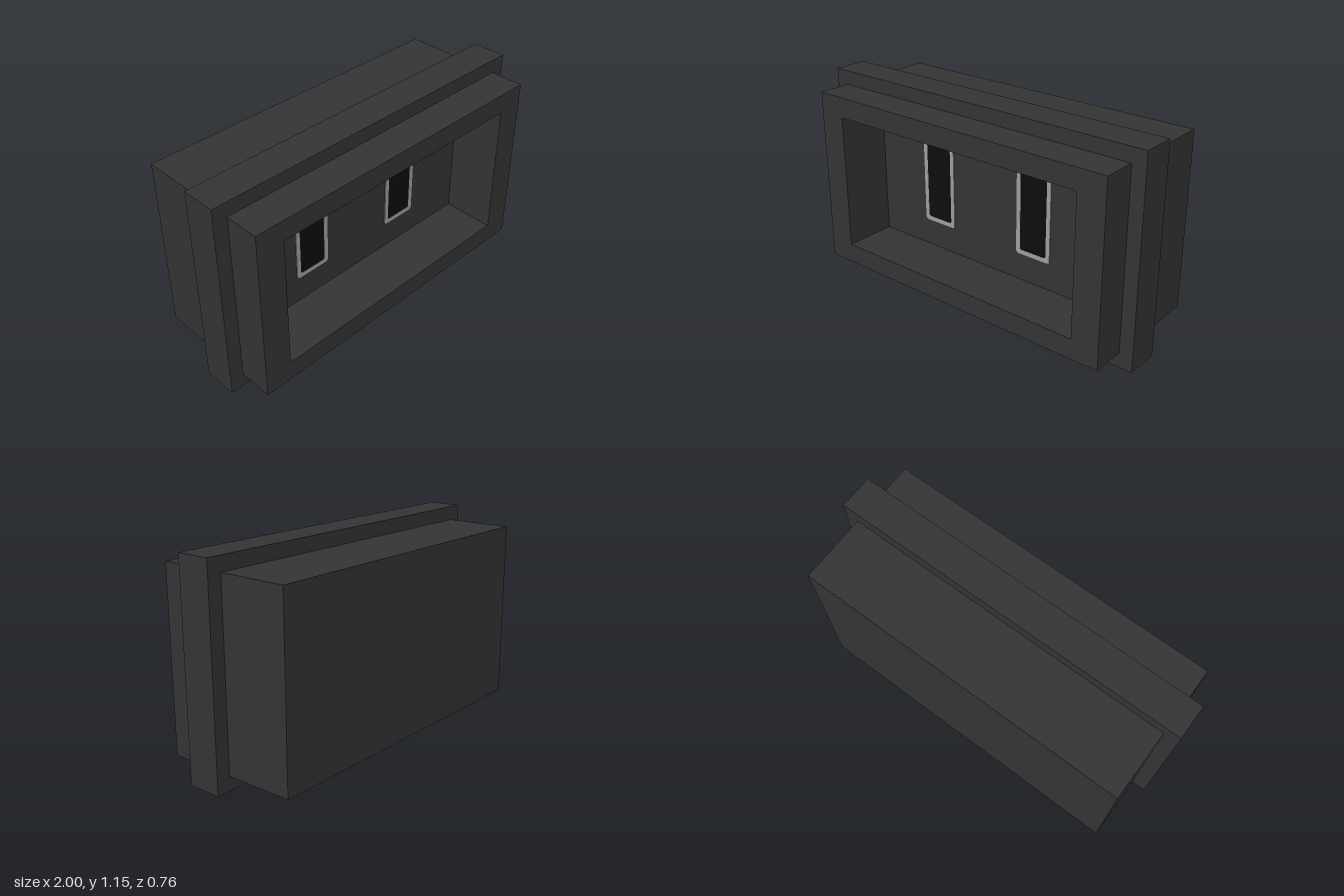
import * as THREE from 'three';

const casing = new THREE.MeshStandardMaterial({ color: 0x353535 });
casing.name = 'charcoal casing';
const trim = new THREE.MeshStandardMaterial({ color: 0xa2a2a2 });
trim.name = 'light grey trim';
const opening = new THREE.MeshStandardMaterial({ color: 0x0d0d0d });
opening.name = 'black opening';

// Rectangle outline with optional rounded corners
function rect(Type, w, h, r = 0) {
  const s = new Type();
  const x = w / 2, y = h / 2;
  if (r === 0) {
    s.moveTo(-x, -y).lineTo(x, -y).lineTo(x, y).lineTo(-x, y).closePath();
    return s;
  }
  s.absarc(x - r, -y + r, r, -Math.PI / 2, 0);
  s.absarc(x - r, y - r, r, 0, Math.PI / 2);
  s.absarc(-x + r, y - r, r, Math.PI / 2, Math.PI);
  s.absarc(-x + r, -y + r, r, Math.PI, Math.PI * 1.5);
  s.closePath();
  return s;
}

// Rectangular plate with an optional hole, extruded towards +z
function plate(name, material, outer, inner, depth, x, y, z) {
  const shape = rect(THREE.Shape, ...outer);
  if (inner) shape.holes.push(rect(THREE.Path, ...inner));
  const geometry = new THREE.ExtrudeGeometry(shape, { depth, bevelEnabled: false, curveSegments: 4 });
  const mesh = new THREE.Mesh(geometry, material);
  mesh.name = name;
  mesh.position.set(x, y, z);
  return mesh;
}

export function createModel() {
  const model = new THREE.Group();
  model.name = 'recessedPanel';
  const midY = 0.573, floorZ = 0.08;
  const body = [1.846, 0.99];

  // Solid rear housing, whose front is the recess floor
  const rear = new THREE.Mesh(new THREE.BoxGeometry(...body, 0.38 + floorZ), casing);
  rear.name = 'rearHousing';
  rear.position.set(0, midY, (floorZ - 0.38) / 2);
  model.add(rear);

  // Front rim around the recess, and the wider flange
  model.add(plate('frontRim', casing, body, [1.536, 0.764], 0.38 - floorZ, 0, midY, floorZ));
  model.add(plate('flange', casing, [2, 1.146], body, 0.19, 0, midY, 0));

  // Two slots with thin pale surrounds
  for (const [side, x] of [['right', -0.342], ['left', 0.308]]) {
    const slot = new THREE.Group();
    slot.name = side + 'Slot';
    slot.add(plate('slotTrim', trim, [0.216, 0.52, 0.018], [0.166, 0.47, 0.012], 0.004, x, 0.605, floorZ));
    slot.add(plate('slotOpening', opening, [0.166, 0.47, 0.012], null, 0.003, x, 0.605, floorZ));
    model.add(slot);
  }
  return model;
}
